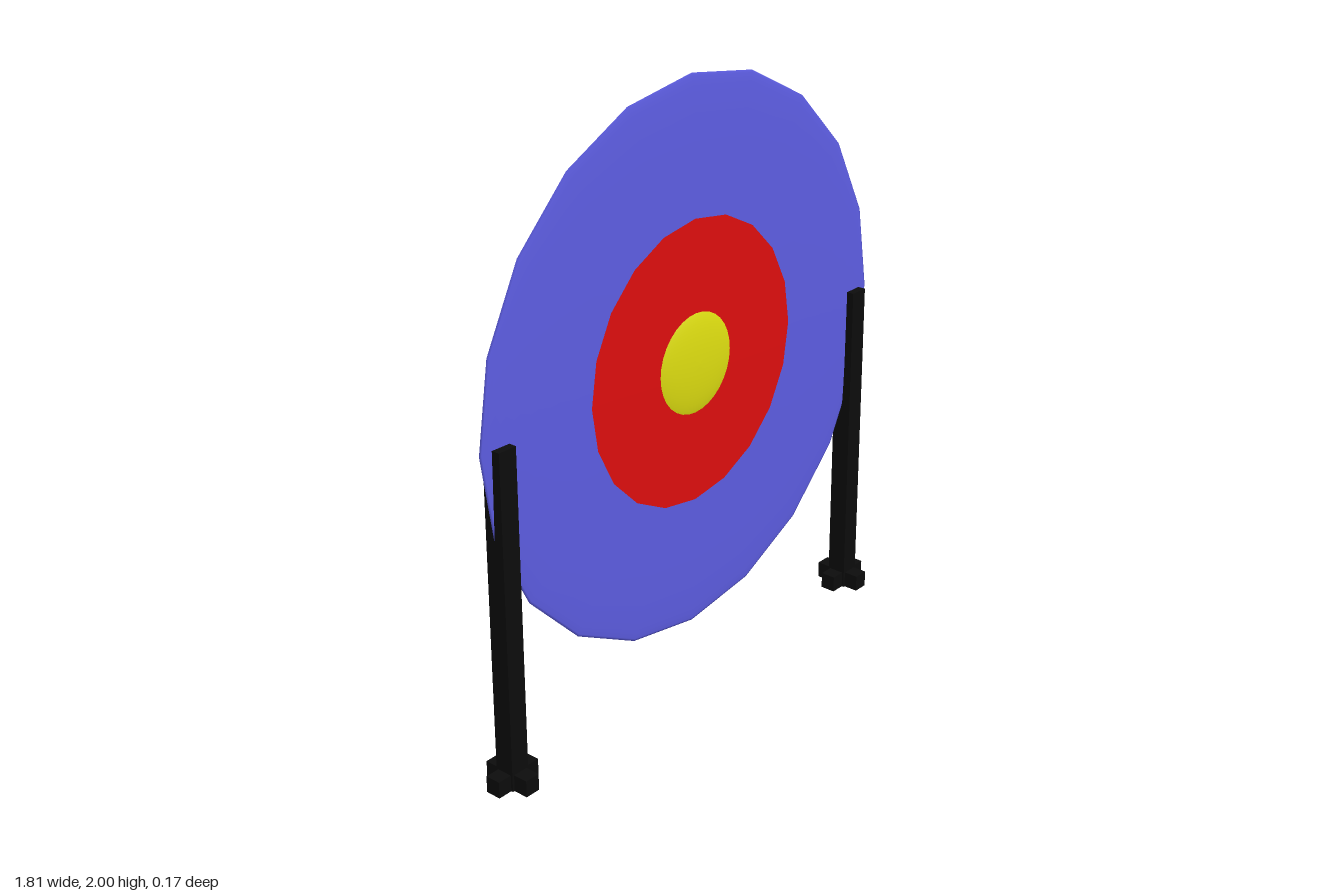
import * as THREE from 'three';

const RADIUS = 0.9, HALF_DEPTH = 0.017, RED_RADIUS = 0.462, CENTRE_Y = 1.1;

const material = (color) => new THREE.MeshStandardMaterial({ color });

// Part of an elliptical lens turned about the z axis, between two profile angles
function lens(name, radius, depth, from, to, steps, sides, mat) {
  const profile = [];
  for (let i = 0; i <= steps; i++) {
    const t = from + (to - from) * i / steps;
    profile.push(new THREE.Vector2(Math.max(0, radius * Math.cos(t)), depth * Math.sin(t)));
  }
  const geometry = new THREE.LatheGeometry(profile, sides);
  geometry.rotateX(Math.PI / 2);
  const mesh = new THREE.Mesh(geometry, mat);
  mesh.name = name;
  return mesh;
}

function box(name, w, h, d, y, mat) {
  const mesh = new THREE.Mesh(new THREE.BoxGeometry(w, h, d), mat);
  mesh.name = name;
  mesh.position.y = y;
  return mesh;
}

export function createModel() {
  const model = new THREE.Group();
  model.name = 'archeryTarget';
  const blue = material(0x5c5ce0), red = material(0xdc0e0e);
  const yellow = material(0xdcdc10), black = material(0x0c0c0c);

  // Thin lens-shaped disc: blue outer ring, red middle on both faces, yellow bullseye
  const target = new THREE.Group();
  target.name = 'target';
  target.position.y = CENTRE_Y;
  const split = Math.acos(RED_RADIUS / RADIUS), half = Math.PI / 2;
  target.add(
    lens('outerRing', RADIUS, HALF_DEPTH, -split, split, 16, 20, blue),
    lens('redFront', RADIUS, HALF_DEPTH, split, half, 6, 20, red),
    lens('redBack', RADIUS, HALF_DEPTH, -half, -split, 6, 20, red),
    lens('bullseye', 0.19, 0.033, -half, half, 20, 32, yellow),
  );
  model.add(target);

  // Posts with cross-shaped feet
  for (const [side, name] of [[1, 'leftStand'], [-1, 'rightStand']]) {
    const stand = new THREE.Group();
    stand.name = name;
    stand.position.x = side * 0.823;
    stand.add(
      box('post', 0.066, 1.105, 0.066, 0.5525, black),
      box('footAcross', 0.164, 0.055, 0.052, 0.0275, black),
      box('footAlong', 0.052, 0.055, 0.166, 0.0275, black),
    );
    model.add(stand);
  }
  return model;
}
